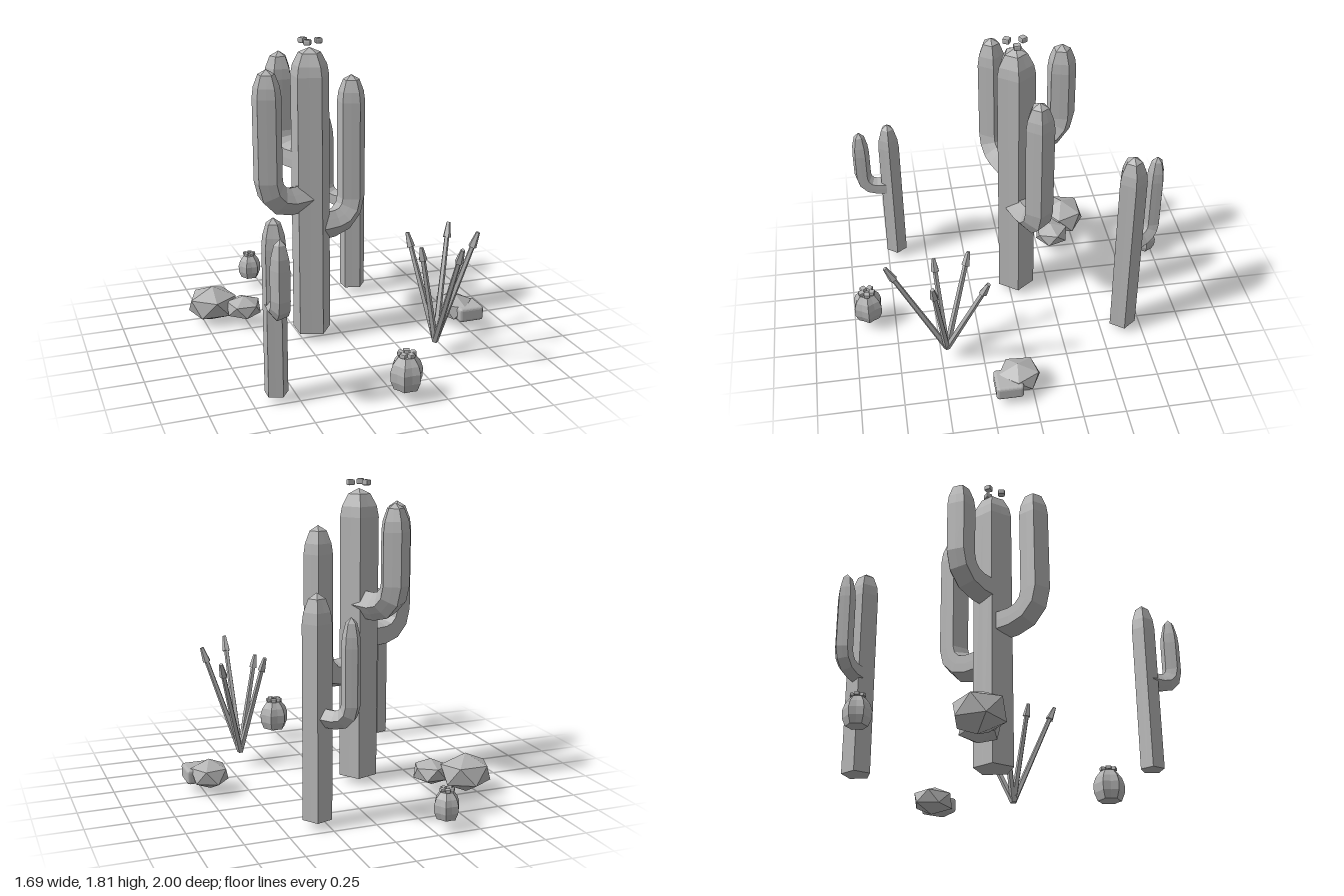
import * as THREE from 'three';
import { RoundedBoxGeometry } from 'three/addons/geometries/RoundedBoxGeometry.js';

const V = (x, y, z) => new THREE.Vector3(x, y, z);
const UP = V(0, 1, 0);

// Ribbed (star-shaped) section swept along rings of { p, t, r }; side = direction of the first rib
function ribbed(rings, side, ribs, valley) {
  const n = ribs * 2;
  const at = ({ p, t, r }, k) => {
    const a = (k / n) * Math.PI * 2;
    const rad = r * (k % 2 ? valley : 1);
    const v = t.clone().cross(side);
    return p.clone().addScaledVector(side, Math.cos(a) * rad).addScaledVector(v, Math.sin(a) * rad);
  };
  const pos = [];
  const tri = (...pts) => pts.forEach((q) => pos.push(q.x, q.y, q.z));
  for (let j = 0; j < rings.length - 1; j++) {
    const lo = rings[j], hi = rings[j + 1];
    for (let k = 0; k < n; k++) {
      const a = at(lo, k), b = at(lo, k + 1), c = at(hi, k + 1), d = at(hi, k);
      if (lo.r > 0) tri(a, b, c);
      if (hi.r > 0) tri(a, c, d);
      if (lo.r > 0 && hi.r === 0) continue;
    }
  }
  const g = new THREE.BufferGeometry();
  g.setAttribute('position', new THREE.Float32BufferAttribute(pos, 3));
  g.computeVertexNormals();
  return g;
}

// Upright ribbed body from [radius, height] pairs
const upright = (x, z, profile, ribs, valley) =>
  ribbed(profile.map(([r, y]) => ({ p: V(x, y, z), t: UP, r })), V(1, 0, 0), ribs, valley);

// Tapered end of a column whose apex is at height top
const tipProfile = (r, top) => [[r, top - 0.16], [r * 0.9, top - 0.1], [r * 0.58, top - 0.03], [0, top]];

export function createModel() {
  const model = new THREE.Group();
  const grey = new THREE.MeshStandardMaterial({ color: 0xb4b4b4, flatShading: true });
  grey.name = 'stone grey';

  const add = (parent, name, geometry) => {
    const mesh = new THREE.Mesh(geometry, grey);
    mesh.name = name;
    parent.add(mesh);
    return mesh;
  };
  const group = (name) => {
    const g = new THREE.Group();
    g.name = name;
    model.add(g);
    return g;
  };

  // Elbow arm leaving a trunk at height y and rising to an apex
  function arm(parent, [x0, z0], [x1, z1], y, top, r, bend, flip = 1) {
    const d = V(x1 - x0, 0, z1 - z0);
    const len = d.length();
    d.normalize();
    const side = V(-d.z * flip, 0, d.x * flip);
    const at = (u, h) => V(x0, h, z0).addScaledVector(d, u);
    const rings = [{ p: at(0.01, y), t: d, r: 0 }, { p: at(0.01, y), t: d, r }];
    for (let i = 0; i <= 3; i++) {
      const a = (i / 3) * Math.PI / 2;
      const t = d.clone().multiplyScalar(Math.cos(a)).addScaledVector(UP, Math.sin(a));
      rings.push({ p: at(len - bend + Math.sin(a) * bend, y + bend * (1 - Math.cos(a))), t, r });
    }
    tipProfile(r, top).forEach(([rad, h]) => rings.push({ p: at(len, h), t: UP, r: rad }));
    add(parent, 'arm', ribbed(rings, side, 5, 0.82));
  }

  function trunk(parent, [x, z], r, top) {
    add(parent, 'trunk', upright(x, z, [[0, 0.04], [r, 0.04], ...tipProfile(r, top)], 5, 0.8));
  }

  // Ring of small block flowers
  function flowers(parent, x, y, z, ring, count, w, h) {
    for (let i = 0; i < count; i++) {
      const a = (i / count) * Math.PI * 2;
      const f = add(parent, 'flower', new RoundedBoxGeometry(w, h, w, 1, h * 0.25));
      f.position.set(x + Math.cos(a) * ring, y, z + Math.sin(a) * ring);
      f.rotation.y = -a;
    }
  }

  // Tall cactus with three arms and a crown of flowers
  const tall = group('tallCactus');
  const c1 = [-0.175, -0.045];
  trunk(tall, c1, 0.117, 1.76);
  arm(tall, c1, [-0.46, 0.055], 0.885, 1.67, 0.087, 0.14, -1);
  arm(tall, c1, [0.11, -0.135], 0.685, 1.57, 0.087, 0.14);
  arm(tall, c1, [-0.275, -0.33], 1.095, 1.7, 0.087, 0.14);
  flowers(tall, c1[0], 1.795, c1[1], 0.053, 3, 0.042, 0.033);

  // Medium and small one-armed cacti
  const medium = group('mediumCactus');
  const c2 = [0.303, -0.635];
  trunk(medium, c2, 0.084, 1.285);
  arm(medium, c2, [0.18, -0.81], 0.62, 1.18, 0.054, 0.09);
  const small = group('smallCactus');
  const c3 = [-0.617, 0.69];
  trunk(small, c3, 0.067, 1.03);
  arm(small, c3, [-0.635, 0.868], 0.56, 0.975, 0.055, 0.09);

  // Barrel cacti: position, radius, height
  for (const [x, z, r, h] of [[0.043, 0.912, 0.095, 0.185], [-0.325, -0.937, 0.075, 0.15]]) {
    const barrel = group('barrelCactus');
    const profile = [[0, 0], [0.76, 0], [0.98, 0.27], [1, 0.55], [0.85, 0.78], [0.52, 1], [0, 1]]
      .map(([a, b]) => [a * r, 0.066 + b * h]);
    add(barrel, 'barrelBody', upright(x, z, profile, 6, 0.83));
    flowers(barrel, x, 0.078 + h, z, r * 0.35, 5, r * 0.37, r * 0.26);
  }

  // Splayed stems with budded tips
  const shrub = group('stemPlant');
  const root = V(0.413, 0.085, 0.465);
  const rod = (name, a, b, r0, r1) => {
    const d = b.clone().sub(a);
    const m = add(shrub, name, new THREE.CylinderGeometry(r1, r0, d.length(), 5));
    m.position.copy(a).add(b).multiplyScalar(0.5);
    m.quaternion.setFromUnitVectors(UP, d.normalize());
  };
  const tips = [[0.59, 0.72, 0.23], [0.625, 0.755, 0.545], [0.412, 0.76, 0.79], [0.293, 0.69, 0.508], [0.293, 0.715, 0.305]];
  for (const tip of tips) {
    const end = V(...tip);
    const neck = end.clone().lerp(root, 0.13);
    rod('stem', root, neck, 0.02, 0.015);
    rod('bud', neck, end, 0.025, 0.012);
  }

  // Faceted boulders: centre, radii, turn
  const rocks = [
    [[-0.695, 0.115, -0.455], [0.165, 0.115, 0.15], 0.3],
    [[-0.522, 0.105, -0.347], [0.118, 0.078, 0.118], 0.9],
    [[0.715, 0.107, 0.077], [0.122, 0.087, 0.138], 0.5],
  ];
  for (const [p, s, turn] of rocks) {
    const g = new THREE.IcosahedronGeometry(1, 0).rotateZ(0.5536).rotateY(turn).rotateX(0.08).scale(...s);
    add(model, 'boulder', g).position.set(...p);
  }
  // Smooth-edged block stone
  add(model, 'blockStone', new RoundedBoxGeometry(0.16, 0.09, 0.16, 2, 0.018)).position.set(0.77, 0.097, 0.148);

  return model;
}
